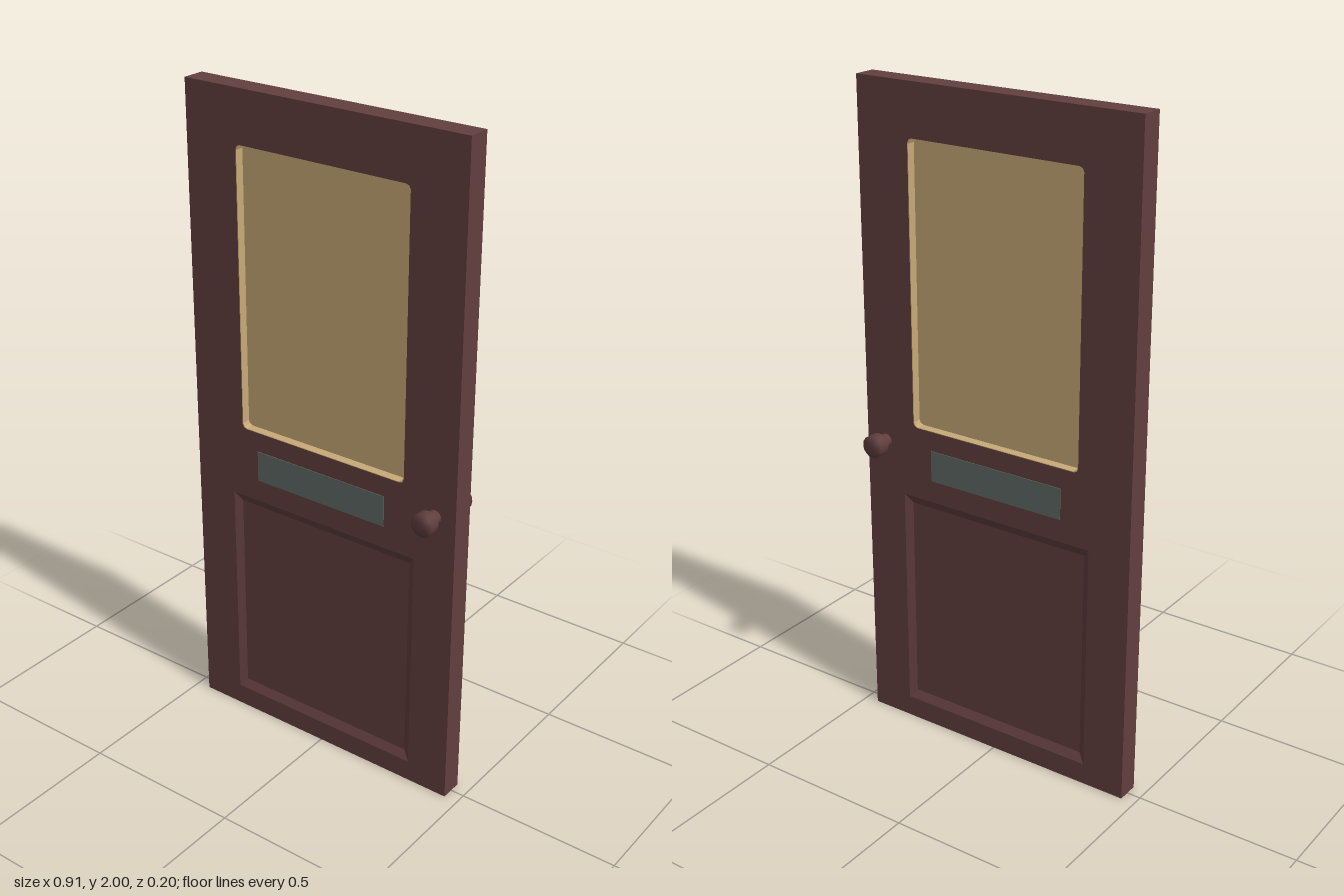
import * as THREE from 'three';

const wood = new THREE.MeshStandardMaterial({ color: 0x633f3f });
wood.name = 'dark wood';
const glass = new THREE.MeshStandardMaterial({ color: 0xc8aa78 });
glass.name = 'amber glass';
const metal = new THREE.MeshStandardMaterial({ color: 0x5f6a66 });
metal.name = 'grey metal';

const HALF_W = 0.457, HEIGHT = 2, MID_Z = 0.001, HALF_T = 0.035;
const WIN = { x: 0.285, y0: 0.995, y1: 1.845, cut: 0.014 };
const PANEL = { x: 0.324, y0: 0.066, y1: 0.77, slope: 0.022, slopeY: 0.027, depth: 0.013 };

// Rectangle corners, counter-clockwise, with optional clipped corners
function outline(x, y0, y1, c = 0) {
  const corners = c === 0
    ? [[-x, y0], [x, y0], [x, y1], [-x, y1]]
    : [[-x + c, y0], [x - c, y0], [x - c * 0.3, y0 + c * 0.3], [x, y0 + c], [x, y1 - c], [x - c * 0.3, y1 - c * 0.3],
      [x - c, y1], [-x + c, y1], [-x + c * 0.3, y1 - c * 0.3], [-x, y1 - c], [-x, y0 + c], [-x + c * 0.3, y0 + c * 0.3]];
  return corners.map(([px, py]) => new THREE.Vector2(px, py));
}

// Extruded plate centred on z = 0
function plate(points, holes, thickness) {
  const shape = new THREE.Shape(points);
  for (const hole of holes) shape.holes.push(new THREE.Path(hole));
  const geometry = new THREE.ExtrudeGeometry(shape, { depth: thickness, bevelEnabled: false });
  return geometry.translate(0, 0, -thickness / 2);
}

// Sunken panel: four sloping sides and a flat floor
function sunkenPanel() {
  const { x, y0, y1, slope, slopeY, depth } = PANEL;
  const outer = outline(x, y0, y1).map(p => [p.x, p.y, HALF_T]);
  const inner = outline(x - slope, y0 + slopeY, y1 - slopeY).map(p => [p.x, p.y, HALF_T - depth]);
  const positions = [];
  const quad = (a, b, c, d) => positions.push(...a, ...b, ...c, ...a, ...c, ...d);
  for (let i = 0; i < 4; i++) {
    const j = (i + 1) % 4;
    quad(outer[i], outer[j], inner[j], inner[i]);
  }
  quad(...inner);
  const geometry = new THREE.BufferGeometry();
  geometry.setAttribute('position', new THREE.Float32BufferAttribute(positions, 3));
  geometry.computeVertexNormals();
  return geometry;
}

// Flared knob with a flat end, smooth shaded, pointing along +z
function knob() {
  const profile = [[0.021, 0.03], [0.021, 0.048], [0.035, 0.07], [0.035, 0.1], [0, 0.1]]
    .map(([r, h]) => new THREE.Vector2(r, h));
  return new THREE.LatheGeometry(profile, 16).rotateX(Math.PI / 2);
}

export function createModel() {
  const model = new THREE.Group();
  model.name = 'door';
  const add = (parent, name, geometry, material) => {
    const mesh = new THREE.Mesh(geometry, material);
    mesh.name = name;
    parent.add(mesh);
    return mesh;
  };

  // Door leaf with openings for the window and the lower panel
  const slab = new THREE.Group();
  slab.name = 'slab';
  slab.position.z = MID_Z;
  model.add(slab);
  const windowEdge = outline(WIN.x, WIN.y0, WIN.y1, WIN.cut);
  const panelEdge = outline(PANEL.x, PANEL.y0, PANEL.y1);
  add(slab, 'doorFrame', plate(outline(HALF_W, 0, HEIGHT), [windowEdge, panelEdge], HALF_T * 2), wood);

  // Window pane and the lining of its opening
  const lining = outline(WIN.x - 0.002, WIN.y0 + 0.002, WIN.y1 - 0.002, WIN.cut);
  add(slab, 'windowLining', plate(windowEdge, [lining], HALF_T * 2), glass);
  add(slab, 'windowPane', plate(lining, [], 0.016), glass);

  // Panel, letter plate and knob, the same on both faces
  for (const side of ['front', 'back']) {
    const face = new THREE.Group();
    face.name = side + 'Face';
    if (side === 'back') face.rotation.y = Math.PI;
    slab.add(face);
    add(face, side + 'Panel', sunkenPanel(), wood);
    const letterPlate = add(face, side + 'LetterPlate', new THREE.BoxGeometry(0.45, 0.096, 0.004), metal);
    letterPlate.position.set(side === 'front' ? -0.004 : 0.004, 0.887, HALF_T);
    const handle = add(face, side + 'Knob', knob(), wood);
    handle.position.set(side === 'front' ? 0.389 : -0.389, 0.928, 0);
  }
  return model;
}
